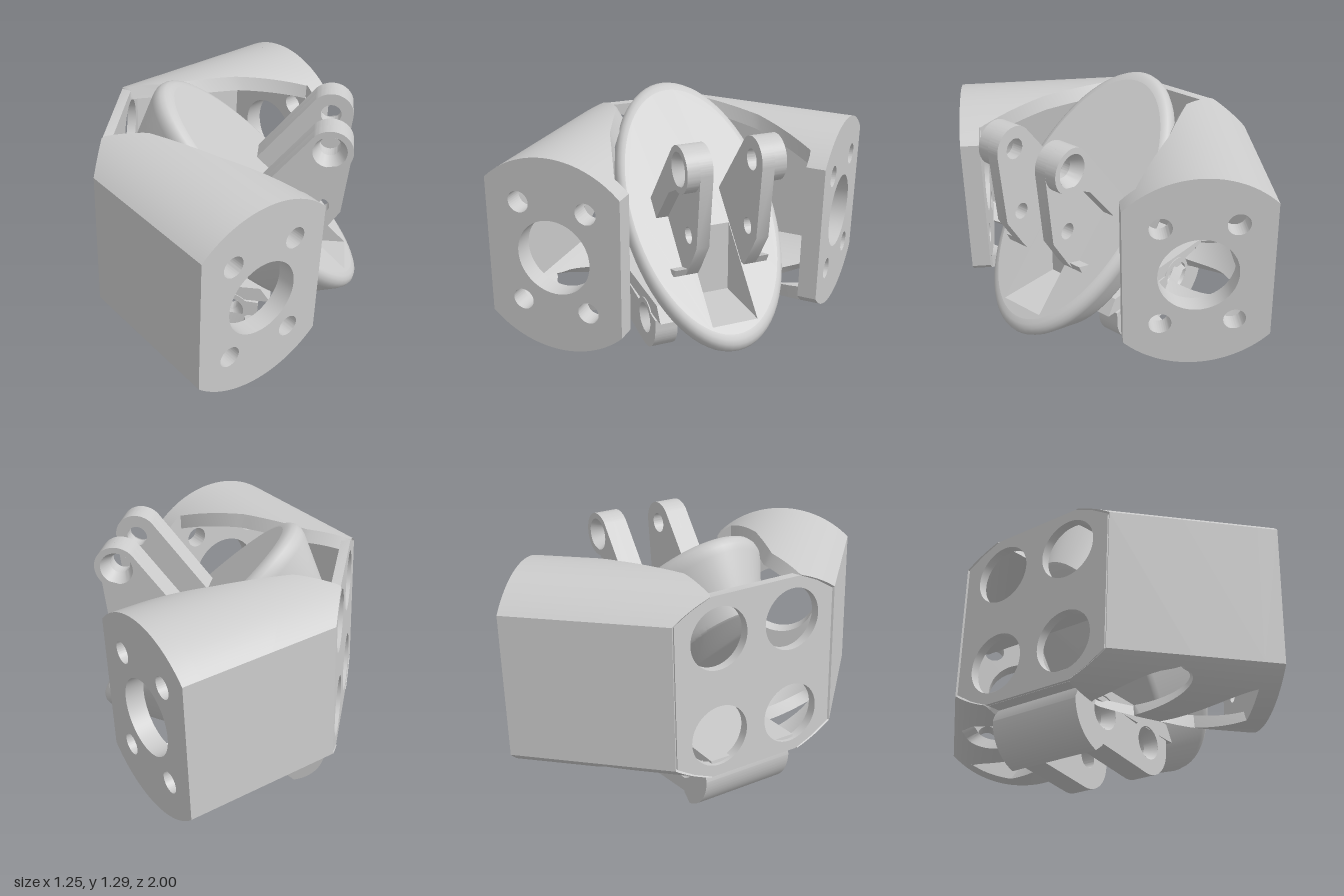
import * as THREE from 'three';
import { toCreasedNormals } from 'three/addons/utils/BufferGeometryUtils.js';

const material = new THREE.MeshStandardMaterial({ color: 0xcccccc, side: THREE.DoubleSide });
const TILT = -0.037, CENTER_Y = 0.692;
const FACE_X = 0.192, FACE_Z = 0.755;               // centre of an arm's end face
const LOWER_SCREWS = [[-0.355, 0.207], [-0.015, 0.165]];

function part(name, geometry, parent) {
  const mesh = new THREE.Mesh(toCreasedNormals(geometry, 0.6), material);
  mesh.name = name;
  parent.add(mesh);
}

const extrude = (shape, depth) =>
  new THREE.ExtrudeGeometry(shape, { depth, bevelEnabled: false, curveSegments: 32 });
const polygon = (points) => new THREE.Shape(points.map(([x, y]) => new THREE.Vector2(x, y)));

function drill(shape, x, y, r) {
  shape.holes.push(new THREE.Path().absarc(x, y, r, 0, Math.PI * 2, true));
}

// Top half of a circle from x = a to x = b, as points
function arc(radius, a, b, n = 40) {
  const start = Math.acos(a / radius), end = Math.acos(b / radius);
  return Array.from({ length: n + 1 }, (_, i) => {
    const t = start + (end - start) * i / n;
    return [radius * Math.cos(t), radius * Math.sin(t)];
  });
}
const withMirror = (pts) => [...pts, ...pts.map(([x, y]) => [x, -y]).reverse()];

// Start of the arm wall along its axis, for a point at sideways offset w
function wallStart(w) {
  const backPlane = -1.134 - w, middleGap = w - 0.728;
  let t = Math.max(backPlane, middleGap);
  if (w > -0.05) t = Math.max(t, THREE.MathUtils.mapLinear(w, -0.05, 0.085, -0.778, -0.43));
  if (w > 0.085) t = THREE.MathUtils.mapLinear(w, 0.085, 0.27, -0.43, -0.1);
  return Math.min(t, -0.1);
}

// Wall ends along the axis, with gaps where the lower screw channels cross it
function wallBreaks(w, y) {
  const start = wallStart(w), end = -0.09;
  const breaks = [start];
  for (const [cx, cy] of LOWER_SCREWS) {
    const dy = CENTER_Y + y + TILT * cx - cy;
    const half = y < 0 && Math.abs(dy) < 0.108 ? Math.sqrt(0.108 ** 2 - dy * dy) : 0;
    for (const x of [cx - half, cx + half]) {
      const t = (x + TILT * y - FACE_X) / Math.SQRT1_2 - w;
      breaks.push(THREE.MathUtils.clamp(t, start, end));
    }
  }
  return [...breaks, end];
}

// C-shaped wall, open towards the cup, built strip by strip; up = 1 or -1
function armWall(up) {
  const outer = withMirror(arc(0.49, 0.27, -0.345));
  const inner = withMirror(arc(0.43, 0.27, -0.285));
  const breaks = outer.map(([w, y]) => wallBreaks(w, y * up));
  const v = [];
  const quad = (a, b, c, d) => v.push(...a, ...b, ...c, ...a, ...c, ...d);
  for (let i = 0; i + 1 < outer.length; i++) {
    const j = i + 1;
    const at = (rail, k, n) => [...rail[k], breaks[k][n]];
    for (let n = 0; n < 6; n += 2) {
      const m = n + 1;
      quad(at(outer, i, n), at(outer, j, n), at(outer, j, m), at(outer, i, m));
      quad(at(inner, i, m), at(inner, j, m), at(inner, j, n), at(inner, i, n));
      const cutEdge = (a, b) => breaks[i][a] !== breaks[i][b] || breaks[j][a] !== breaks[j][b];
      if (n === 0 || cutEdge(n, n - 1))
        quad(at(outer, i, n), at(inner, i, n), at(inner, j, n), at(outer, j, n));
      if (m < 5 && cutEdge(m, m + 1))
        quad(at(outer, j, m), at(inner, j, m), at(inner, i, m), at(outer, i, m));
    }
  }
  return new THREE.BufferGeometry().setAttribute('position', new THREE.Float32BufferAttribute(v, 3));
}

function makeArm(up) {
  const arm = new THREE.Group();
  part('armWall', armWall(up), arm);

  // End flange with a bore and four bolt holes
  const flange = polygon(withMirror(arc(0.49, 0.345, -0.345)));
  drill(flange, 0, 0, 0.187);
  for (const x of [-0.173, 0.173]) for (const y of [-0.253, 0.253]) drill(flange, x, y, 0.053);
  part('armFlange', extrude(flange, 0.094).translate(0, 0, -0.094), arm);

  arm.rotation.y = Math.PI / 4;
  arm.position.set(FACE_X, 0, FACE_Z);
  return arm;
}

function makeHousing() {
  const housing = new THREE.Group();
  housing.name = 'housing';

  // The rear arm is the front arm turned over
  for (const [name, up] of [['frontArm', 1], ['rearArm', -1]]) {
    const side = new THREE.Group();
    side.name = name;
    side.rotation.x = up > 0 ? 0 : Math.PI;
    side.add(makeArm(up));
    housing.add(side);
  }

  // Eight-sided back plate with four large openings and a middle rib
  const corner = [[0.43, 0.345], [0.34, 0.4], [0.24, 0.443]];
  const plate = polygon(withMirror([...corner, ...corner.map(([x, y]) => [-x, y]).reverse()]));
  for (const x of [-0.2, 0.2]) for (const y of [-0.24, 0.24]) drill(plate, x, y, 0.15);
  part('backPlate', extrude(plate, 0.045).rotateY(Math.PI / 2).translate(-0.607, 0, 0), housing);
  part('plateRib', new THREE.BoxGeometry(0.12, 0.06, 0.82).translate(-0.51, -0.04, 0), housing);

  housing.position.y = CENTER_Y;
  housing.rotation.z = TILT;
  return housing;
}

// Tapered oval cup with a rounded rim and a stepped notch in its face
function makeCup() {
  const cup = new THREE.Group();
  cup.name = 'ovalCup';
  const profile = [[0, -0.36], [0.79, -0.36], [0.815, -0.352], [0.83, -0.33], [0.98, -0.09], [0.99, -0.06],
    [0.985, -0.035], [0.965, -0.015], [0.935, -0.004], [0.9, 0]].map(([x, y]) => new THREE.Vector2(x, y));
  const body = new THREE.LatheGeometry(profile, 72).scale(0.72, 1, 0.395);
  // Narrow the cup sideways towards its back
  const p = body.attributes.position;
  for (let i = 0; i < p.count; i++) p.setZ(i, p.getZ(i) * (1 + 0.6 * Math.min(0, p.getY(i) + 0.06)));
  part('cupBody', body, cup);

  const [a, b, half] = [0.1, 0.595, 0.115];
  const floor = [0.361, -0.245];
  const face = new THREE.Shape().absellipse(0, 0, 0.648, 0.3555, 0, Math.PI * 2);
  face.holes.push(polygon([[a, half], [b, half], [b, -half], [a, -half]]));
  part('cupFace', new THREE.ShapeGeometry(face, 36).rotateX(-Math.PI / 2), cup);

  const step = polygon([[a, 0], floor, [b, 0], [b, -0.01], [floor[0], floor[1] - 0.01], [a, -0.01]]);
  part('notchStep', extrude(step, 2 * half).translate(0, 0, -half), cup);
  for (const z of [-half, half])
    part('notchSide', new THREE.ShapeGeometry(polygon([[a, 0], floor, [b, 0]])).translate(0, 0, z), cup);

  cup.rotation.z = -0.814;
  cup.position.set(0.16, 0.81, 0);
  return cup;
}

// Pair of lugs: an inner web and an outer layer with countersunk screw holes
function addLugs(name, web, rim, screws, parent, weightHole) {
  for (const side of [1, -1]) {
    const lug = new THREE.Group();
    lug.name = name;
    for (const [outline, z, depth, radius] of [[web, 0.118, 0.062, 0.05], [rim, 0.18, 0.06, 0.08]]) {
      const shape = outline();
      for (const [x, y] of screws) drill(shape, x, y, radius);
      if (weightHole && outline === web) drill(shape, ...weightHole);
      part(name + 'Layer', extrude(shape, depth).translate(0, 0, side > 0 ? z : -z - depth), lug);
    }
    for (const [x, y] of screws)
      part('countersink', new THREE.CylinderGeometry(0.08, 0.05, 0.06, 32, 1, true)
        .rotateX(side * Math.PI / 2).translate(x, y, side * 0.21), lug);
    parent.add(lug);
  }
}

export function createModel() {
  const model = new THREE.Group();
  model.name = 'angledBracket';
  model.add(makeHousing(), makeCup());

  // Upper lugs on the cup face: flat web, raised boss, edge rib and foot
  const upper = (end, rest) => () => {
    const s = new THREE.Shape();
    s.moveTo(0.09, 0.86);
    s.lineTo(0.38, 1.212);
    s.absarc(0.457, 1.135, 0.109, Math.PI * 0.75, end, true);
    for (const [x, y] of rest) s.lineTo(x, y);
    s.lineTo(0.4, 0.585);
    s.lineTo(0.35, 0.585);
    return s;
  };
  addLugs('upperLug', upper(-0.1, [[0.525, 0.77], [0.43, 0.625]]),
    upper(-Math.PI * 0.7, [[0.17, 0.79], [0.345, 0.605], [0.42, 0.625]]),
    [[0.457, 1.135]], model, [0.43, 0.8, 0.04]);

  // Lower lugs below the housing, with round bosses rising into the screw channels
  const lower = () => {
    const s = new THREE.Shape();
    s.moveTo(0.14, 0.22);
    s.lineTo(0.137, 0.165);
    s.absarc(-0.018, 0.165, 0.155, 0, -Math.PI * 0.54, true);
    s.lineTo(-0.37, 0.055);
    s.absarc(-0.355, 0.215, 0.172, -Math.PI * 0.54, -Math.PI, true);
    s.lineTo(-0.527, 0.25);
    s.absarc(-0.355, 0.207, 0.108, Math.PI * 0.87, Math.PI * 0.13, true);
    s.absarc(-0.015, 0.165, 0.108, Math.PI * 0.8, Math.PI * 0.2, true);
    return s;
  };
  addLugs('lowerLug', lower, lower, LOWER_SCREWS, model);

  // Curved guard behind the lower lugs
  const guard = new THREE.Shape();
  guard.moveTo(-0.57, 0.31);
  guard.absarc(-0.355, 0.215, 0.215, Math.PI, Math.PI * 1.4, false);
  guard.lineTo(-0.375, 0.045);
  guard.absarc(-0.355, 0.215, 0.17, Math.PI * 1.46, Math.PI, true);
  guard.lineTo(-0.525, 0.31);
  part('lowerGuard', extrude(guard, 0.48).translate(0, 0, -0.24), model);

  // Floor joining the back plate, lower lugs and cup
  const floor = polygon([[-0.61, 0.27], [0.14, 0.23], [0.2, 0.23], [0.15, 0.31], [-0.6, 0.34]]);
  part('floor', extrude(floor, 0.47).translate(0, 0, -0.235), model);
  return model;
}
